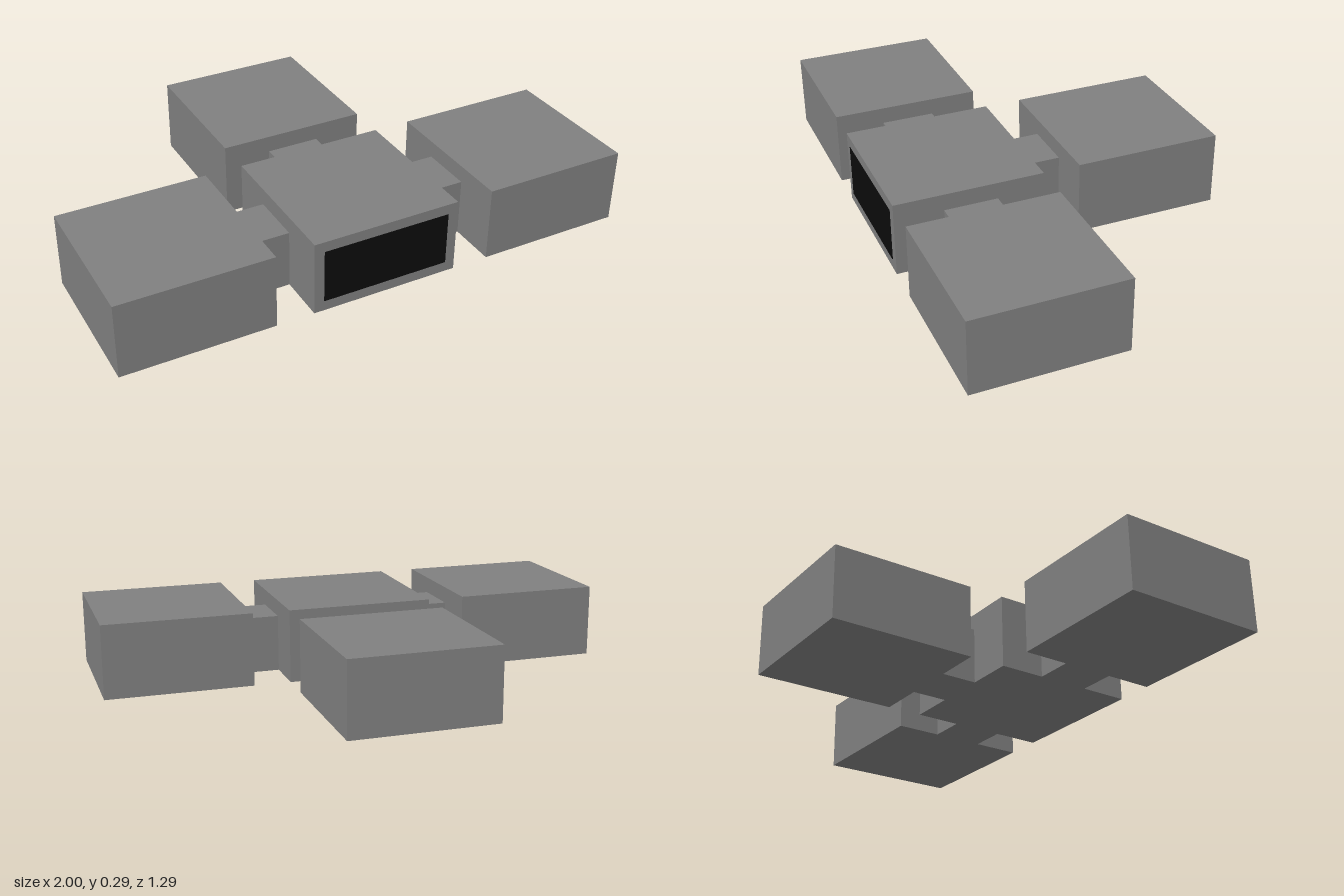
import * as THREE from 'three';

export function createModel() {
  const model = new THREE.Group();
  const grey = new THREE.MeshStandardMaterial({ color: 0x808080 });
  grey.name = 'grey';
  const black = new THREE.MeshStandardMaterial({ color: 0x0c0c0c });
  black.name = 'black';

  const SIZE = 0.571, HEIGHT = 0.286, STEP = 0.7145, ROW_Z = 0.357;
  const LINK_WIDTH = 0.205, LINK_HEIGHT = 0.222, LINK_LENGTH = STEP - SIZE;

  // Box standing on y = bottom
  function addBox(name, material, [w, h, d], [x, bottom, z]) {
    const mesh = new THREE.Mesh(new THREE.BoxGeometry(w, h, d), material);
    mesh.name = name;
    mesh.position.set(x, bottom + h / 2, z);
    model.add(mesh);
  }

  // Four square modules: a row of three and one behind the middle
  const block = [SIZE, HEIGHT, SIZE];
  addBox('centreModule', grey, block, [0, 0, ROW_Z]);
  addBox('backModule', grey, block, [0, 0, -ROW_Z]);

  // Side modules and the lower corridors that join them to the centre
  for (const [side, s] of [['left', 1], ['right', -1]]) {
    addBox(side + 'Module', grey, block, [s * STEP, 0, ROW_Z]);
    addBox(side + 'Corridor', grey, [LINK_LENGTH, LINK_HEIGHT, LINK_WIDTH], [s * STEP / 2, 0, ROW_Z - 0.004]);
  }
  addBox('backCorridor', grey, [LINK_WIDTH, LINK_HEIGHT, LINK_LENGTH], [0, 0, 0]);

  // Dark window on the front of the centre module
  addBox('frontWindow', black, [0.494, 0.206, 0.004], [0, 0.04, ROW_Z + SIZE / 2]);

  return model;
}
